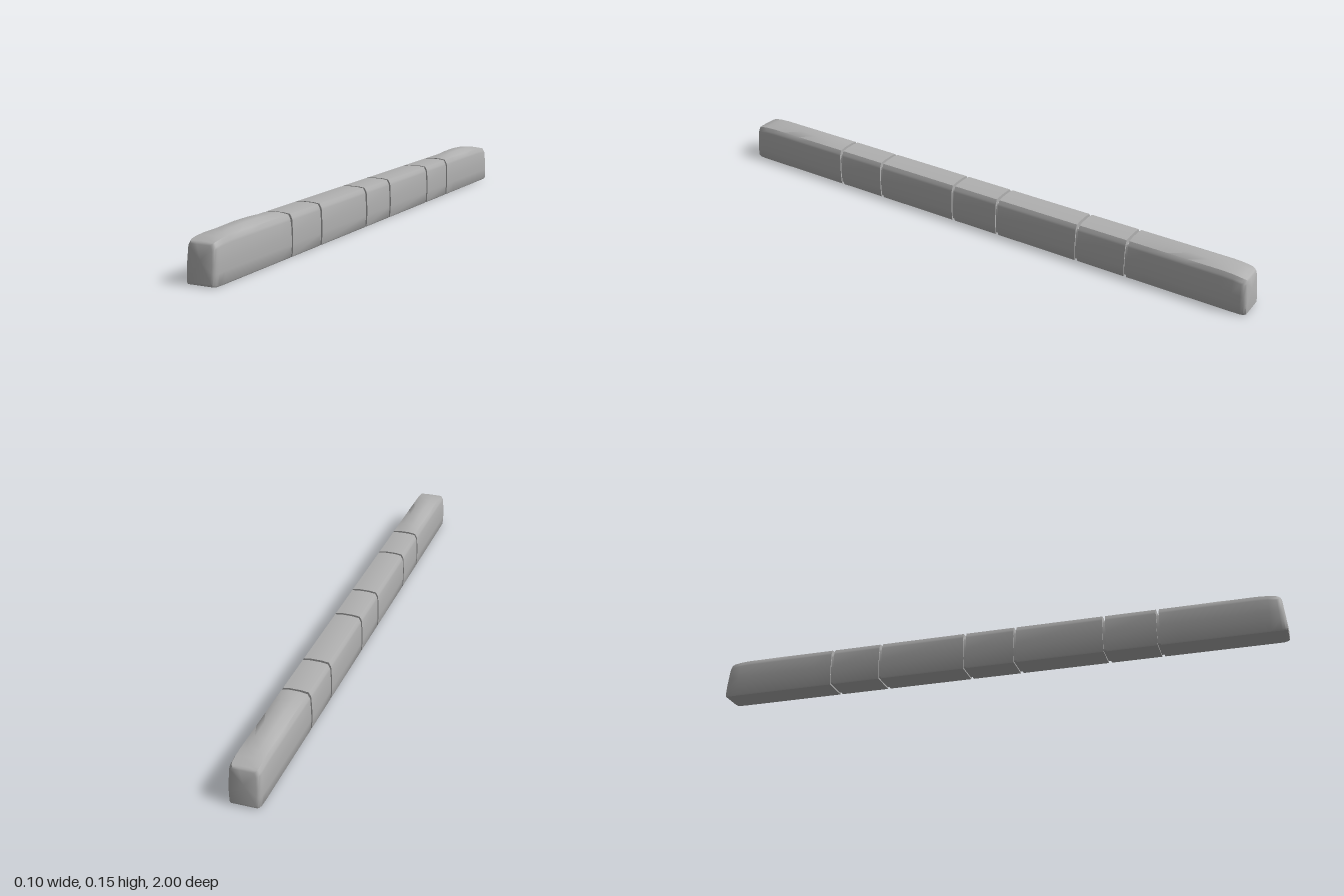
import * as THREE from 'three';
import { toCreasedNormals } from 'three/addons/utils/BufferGeometryUtils.js';

const SHOULDER = 0.134;

// One ring of the hull: width scale, shoulder and floor heights, roof height, backward lean
function ring({ z, w = 1, top = SHOULDER, floor = 0, roof = 0.137, lean = 0 }) {
  const half = [
    [0.047, 0], [0.05, 0.004], [0.0525, 0.04], [0.0525, 0.07], [0.0505, 0.115],
    [0.0485, 0.122], [0.042, SHOULDER], [0.018, null],
  ].map(([x, y]) => [x * w, y === null ? roof : floor + y * (top - floor) / SHOULDER]);
  const loop = [...half, ...half.map(([x, y]) => [-x, y]).reverse()];
  return loop.map(([x, y]) => [x, y, z - Math.sign(z) * lean * y]);
}

// Skin a list of rings (ascending z) and close both ends
function loft(rings) {
  const pos = [];
  const tri = (a, b, c) => pos.push(...a, ...b, ...c);
  const n = rings[0].length;
  for (let i = 0; i < rings.length - 1; i++) {
    const a = rings[i], b = rings[i + 1];
    for (let j = 0; j < n; j++) {
      const k = (j + 1) % n;
      tri(a[j], a[k], b[j]);
      tri(a[k], b[k], b[j]);
    }
  }
  const centre = (r) => [0, 1, 2].map((c) => r.reduce((s, p) => s + p[c], 0) / n);
  const first = rings[0], last = rings[rings.length - 1];
  for (let j = 0; j < n; j++) {
    const k = (j + 1) % n;
    tri(centre(first), first[k], first[j]);
    tri(centre(last), last[j], last[k]);
  }
  const g = new THREE.BufferGeometry();
  g.setAttribute('position', new THREE.Float32BufferAttribute(pos, 3));
  return toCreasedNormals(g, 0.6);
}

export function createModel() {
  const group = new THREE.Group();
  const grey = new THREE.MeshStandardMaterial({ color: 0xb0b0b0 });
  grey.name = 'body grey';
  const add = (name, rings) => {
    const mesh = new THREE.Mesh(loft(rings.map(ring)), grey);
    mesh.name = name;
    group.add(mesh);
  };

  // Straight middle sections, separated by narrow grooves
  const joints = [-0.582, -0.4, -0.09, 0.09, 0.4, 0.582];
  const gap = 0.005;
  for (let i = 0; i < joints.length - 1; i++) {
    add('middleSection' + (i + 1), [{ z: joints[i] + gap }, { z: joints[i + 1] - gap }]);
  }

  // Recessed joints at the bottom of each groove
  joints.forEach((z, i) => add('joint' + (i + 1), [-1, 1].map((s) => ({
    z: z + s * (gap + 0.002), w: 0.91, top: 0.117, floor: 0.005, roof: 0.119,
  }))));

  // End sections with a raised roof and a rounded, slightly leaning nose
  const nose = [
    { z: 0.582 + gap, roof: 0.138 },
    { z: 0.65, roof: 0.1425 },
    { z: 0.72, roof: 0.1462 },
    { z: 0.79, roof: 0.147 },
    { z: 0.86, roof: 0.1445 },
    { z: 0.91, roof: 0.14 },
    { z: 0.945, roof: 0.1355, top: 0.132 },
    { z: 0.979, roof: 0.13, top: 0.128, w: 0.985, lean: 0.06 },
    { z: 0.991, roof: 0.1265, top: 0.1255, w: 0.94, floor: 0.001, lean: 0.1 },
    { z: 0.998, roof: 0.1235, top: 0.123, w: 0.86, floor: 0.004, lean: 0.11 },
    { z: 1.001, roof: 0.118, top: 0.118, w: 0.74, floor: 0.011, lean: 0.11 },
  ];
  add('frontEnd', nose);
  add('backEnd', nose.map((r) => ({ ...r, z: -r.z })).reverse());

  return group;
}
